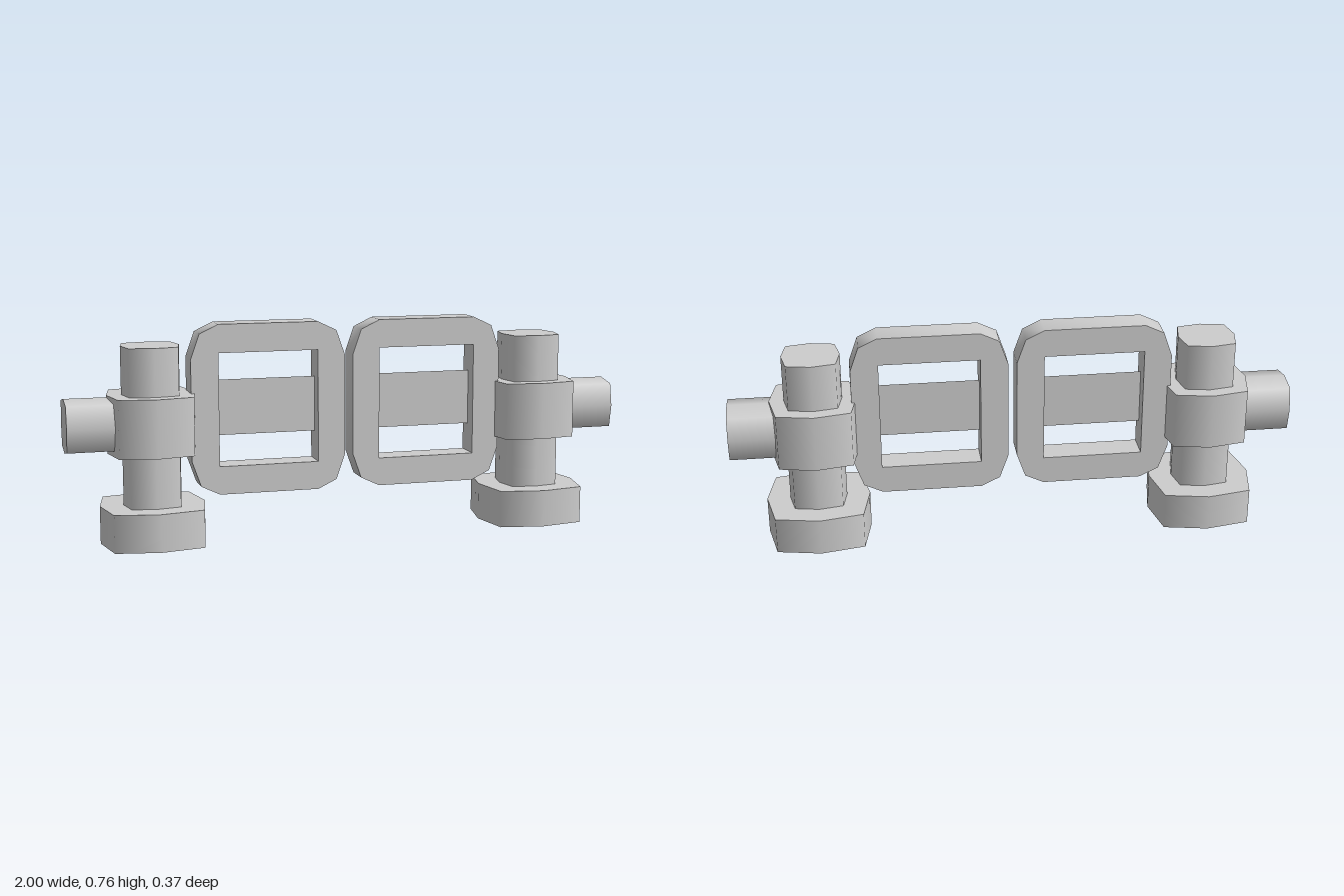
import * as THREE from 'three';
import { toCreasedNormals } from 'three/addons/utils/BufferGeometryUtils.js';

const grey = new THREE.MeshStandardMaterial({ color: 0xcccccc });
grey.name = 'light grey';
grey.side = THREE.DoubleSide;

function part(name, geometry) {
  const mesh = new THREE.Mesh(geometry, grey);
  mesh.name = name;
  return mesh;
}

// Eight-sided prism whose diagonal corners are pushed out towards a bulging square
function bulgedPrism(radius, height) {
  const g = new THREE.CylinderGeometry(radius, radius, height, 8);
  const p = g.attributes.position;
  for (let i = 0; i < p.count; i++) {
    const x = p.getX(i), z = p.getZ(i);
    if (Math.abs(x) > 0.01 && Math.abs(z) > 0.01) {
      p.setX(i, x * 1.19);
      p.setZ(i, z * 1.19);
    }
  }
  return g;
}

// Upright section between two heights at the post position
function upright(name, radius, y0, y1) {
  const mesh = part(name, bulgedPrism(radius, y1 - y0));
  mesh.position.set(0.7, (y0 + y1) / 2, 0);
  return mesh;
}

// Square frame with clipped corners and a square opening
function frameGeometry() {
  const corner = [[0.276, 0.18], [0.245, 0.268], [0.178, 0.3]];
  const reversed = [...corner].reverse();
  const outline = [
    ...corner,
    ...reversed.map(([x, y]) => [-x, y]),
    ...corner.map(([x, y]) => [-x, -y]),
    ...reversed.map(([x, y]) => [x, -y]),
  ];
  const toPoints = (list) => list.map(([x, y]) => new THREE.Vector2(x, y));
  const shape = new THREE.Shape(toPoints(outline));
  shape.holes.push(new THREE.Path(toPoints([
    [-0.178, -0.2], [-0.178, 0.2], [0.178, 0.2], [0.178, -0.2],
  ])));
  const g = new THREE.ExtrudeGeometry(shape, { depth: 0.1, bevelEnabled: false });
  g.translate(0, 0, -0.05);
  return toCreasedNormals(g, 0.9);
}

// One half of the model, at +x or turned round to -x
function half(name) {
  const group = new THREE.Group();
  group.name = name;

  // Post with foot and collar
  group.add(
    upright('foot', 0.185, 0, 0.133),
    upright('post', 0.102, 0.1, 0.69),
    upright('collar', 0.154, 0.318, 0.522),
  );

  // Arm pointing outwards
  const arm = part('arm', bulgedPrism(0.095, 0.3));
  arm.rotation.z = -Math.PI / 2;
  arm.position.set(0.85, 0.42, 0);
  group.add(arm);

  // Frame with a thin band across the opening
  const frame = part('frame', frameGeometry());
  frame.position.set(0.291, 0.46, 0);
  const band = part('band', new THREE.PlaneGeometry(0.356, 0.197));
  band.position.set(0.29, 0.462, 0);
  group.add(frame, band);
  return group;
}

export function createModel() {
  const model = new THREE.Group();
  model.name = 'linkedFrames';
  const left = half('leftHalf');
  const right = half('rightHalf');
  right.rotation.y = Math.PI;
  model.add(left, right);
  return model;
}
